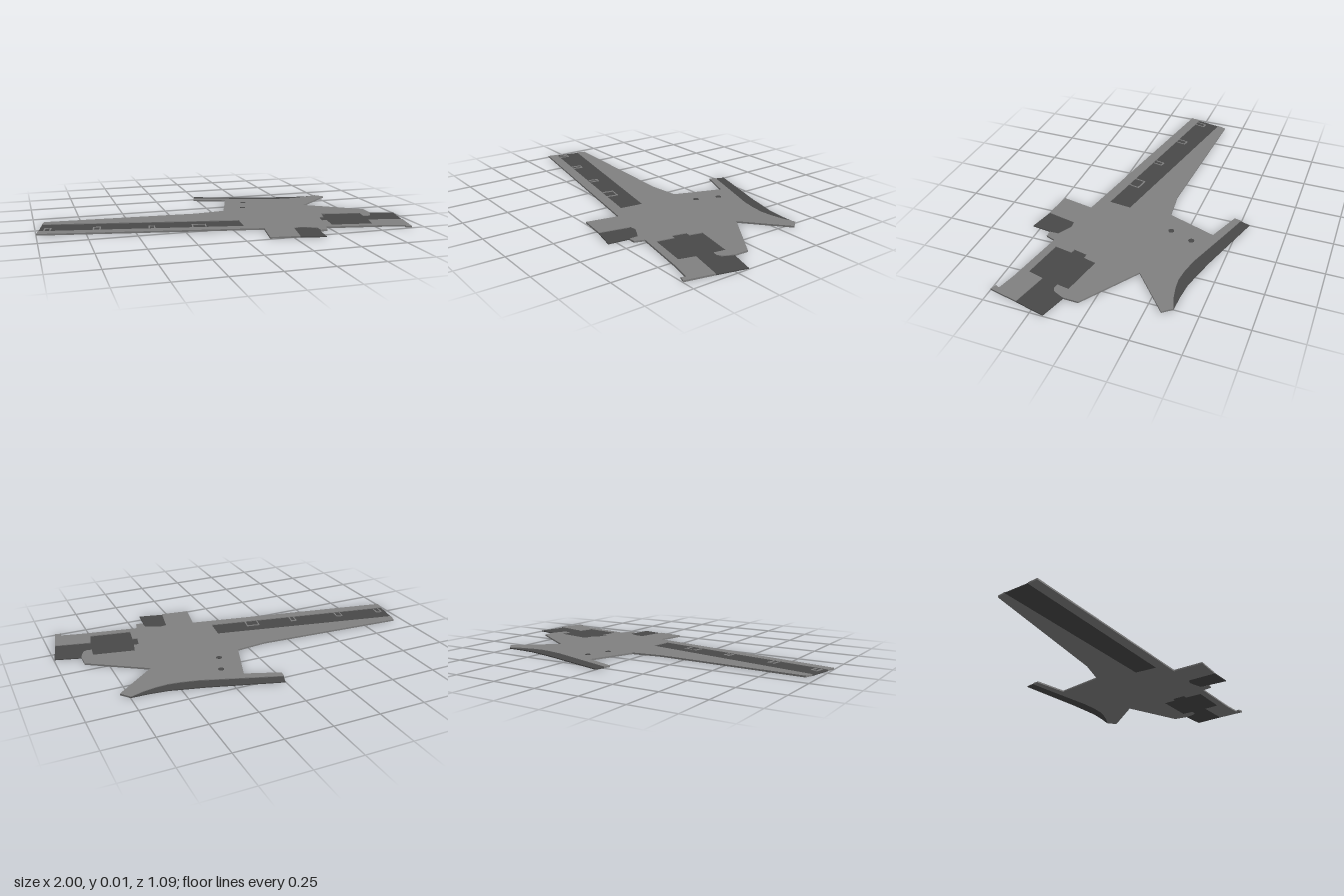
import * as THREE from 'three';

const DECK = 0.009, LOW = 0.005;

// Flat slab from a plan outline given as [x, z] pairs
function slab(name, outline, height, material) {
  const shape = new THREE.Shape(outline.map(([x, z]) => new THREE.Vector2(x, -z)));
  const geometry = new THREE.ExtrudeGeometry(shape, { depth: height, bevelEnabled: false });
  geometry.rotateX(-Math.PI / 2);
  const mesh = new THREE.Mesh(geometry, material);
  mesh.name = name;
  return mesh;
}

export function createModel() {
  const group = new THREE.Group();
  group.name = 'deckPlan';
  const grey = new THREE.MeshStandardMaterial({ color: 0x808080 });
  grey.name = 'deckGrey';
  const dark = new THREE.MeshStandardMaterial({ color: 0x484848 });
  dark.name = 'darkGrey';

  // Edges shared by the deck and the lower dark slabs
  const runway = [[-0.96, -0.095], [0.083, 0.113], [0.07, 0.24], [-0.987, 0.043]];
  const wingSeam = [[-0.015, -0.497], [0.12, -0.452], [0.393, -0.358], [0.48, -0.339],
    [0.548, -0.331], [0.61, -0.336], [0.68, -0.35], [0.75, -0.374]];
  const padSeam = [[0.863, 0.144], [0.848, 0.18], [0.835, 0.205], [0.815, 0.215], [0.789, 0.209],
    [0.799, 0.145], [0.58, 0.102], [0.564, 0.171], [0.537, 0.171], [0.521, 0.246],
    [0.548, 0.251], [0.532, 0.348], [0.751, 0.386], [0.773, 0.3], [0.96, 0.343]];
  const sternSeam = [[0.43, 0.385], [0.39, 0.362], [0.35, 0.343], [0.313, 0.348], [0.281, 0.513]];

  // Main deck, traced around its notches
  const deck = [
    [-0.944, -0.144], [-0.104, -0.102], [0.067, -0.123], [0.158, -0.39], [-0.024, -0.46],
    ...wingSeam,
    [0.789, -0.326], [0.57, -0.134], [0.864, 0.064],
    ...padSeam,
    [0.928, 0.498], [0.896, 0.487], [0.906, 0.465], [0.805, 0.439], [0.484, 0.38],
    [0.468, 0.433], [0.43, 0.433],
    ...sternSeam,
    [0.126, 0.492], [0.158, 0.316], [-1, 0.098],
    ...[...runway].reverse(),
  ];
  group.add(slab('mainDeck', deck, DECK, grey));

  // Lower dark slabs
  group.add(slab('runway', runway, LOW, dark));
  group.add(slab('wingStrip', [[0.003, -0.549], [0.377, -0.433], [0.564, -0.385], [0.66, -0.376],
    ...[...wingSeam].reverse()], LOW, dark));
  group.add(slab('landingPad', [...padSeam, [0.997, 0.183]], LOW, dark));
  group.add(slab('sternPad', [...sternSeam, [0.412, 0.543]], LOW, dark));

  // Raised three-sided frames on the runway: x, z, width, length
  const frames = [[-0.938, 0.02, 0.03, 0.055], [-0.687, 0.068, 0.034, 0.055],
    [-0.403, 0.12, 0.028, 0.05], [-0.156, 0.165, 0.07, 0.06]];
  const bar = 0.007, rise = DECK - LOW;
  for (const [x, z, w, l] of frames) {
    const frame = new THREE.Group();
    frame.name = 'runwayFrame';
    for (const [bx, bz, bw, bl] of [[-w / 2, 0, bar, l], [w / 2, 0, bar, l], [0, -l / 2, w + bar, bar]]) {
      const mesh = new THREE.Mesh(new THREE.BoxGeometry(bw, rise, bl), grey);
      mesh.name = 'frameBar';
      mesh.position.set(bx, 0, bz);
      frame.add(mesh);
    }
    frame.position.set(x, LOW + rise / 2, z);
    frame.rotation.y = -0.19;
    group.add(frame);
  }

  // Two round marks on the deck
  for (const [x, z] of [[0.243, -0.297], [0.2, -0.171]]) {
    const mark = new THREE.Mesh(new THREE.CylinderGeometry(0.016, 0.016, 0.002, 16), dark);
    mark.name = 'roundMark';
    mark.position.set(x, DECK, z);
    group.add(mark);
  }
  return group;
}
